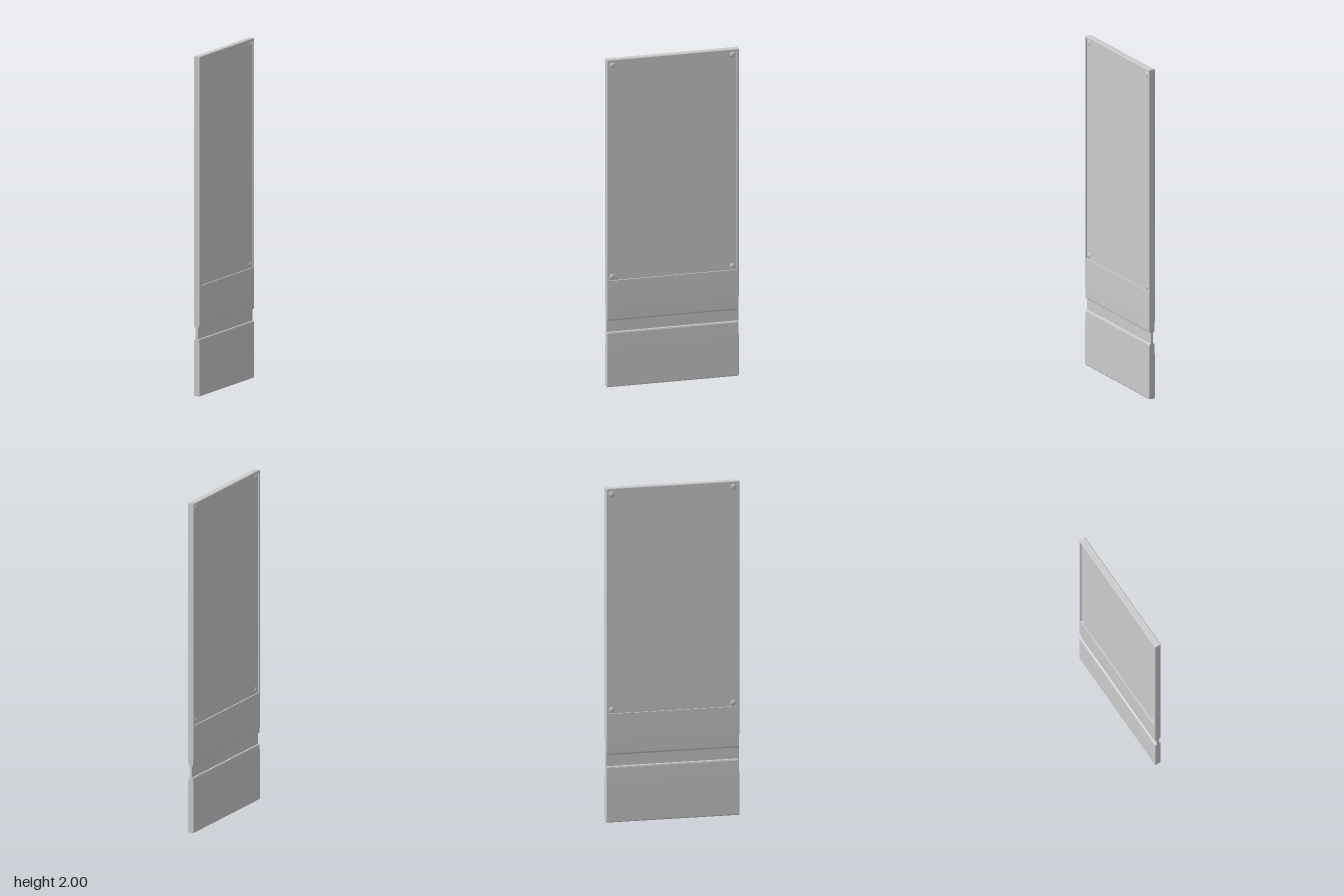
import * as THREE from 'three';

const material = new THREE.MeshStandardMaterial({ color: 0xcccccc, flatShading: true });
const smooth = new THREE.MeshStandardMaterial({ color: 0xcccccc });

const HALF_WIDTH = 0.4;
const RIM = 0.013;
const HALF_THICK = 0.02;
const FLOOR = 0.012; // half thickness inside the recessed panel
const PANEL_BOTTOM = 0.65, PANEL_TOP = 1.985;

// Side outline of the slab (half thickness, height), mirrored across x = 0
function outline(recessed) {
  const half = [
    [0.016, 0], [HALF_THICK, 0.005], [HALF_THICK, 0.24], [0.0185, 0.325], [0.016, 0.333],
    [0.008, 0.336], [0.008, 0.402], [0.016, 0.405], [0.0185, 0.413], [HALF_THICK, 0.5],
  ];
  if (recessed) {
    half.push([HALF_THICK, PANEL_BOTTOM], [FLOOR, PANEL_BOTTOM], [FLOOR, PANEL_TOP], [HALF_THICK, PANEL_TOP]);
  }
  half.push([HALF_THICK, 1.996], [0.017, 2]);
  const mirrored = half.map(([x, y]) => [-x, y]).reverse();
  return new THREE.Shape([...half, ...mirrored].map(([x, y]) => new THREE.Vector2(x, y)));
}

export function createModel() {
  const group = new THREE.Group();
  group.name = 'groovedPanel';
  const add = (name, geometry, mat = material) => {
    const mesh = new THREE.Mesh(geometry, mat);
    mesh.name = name;
    group.add(mesh);
    return mesh;
  };

  // Main slab with the waist groove and a recess on both faces
  const inner = HALF_WIDTH - RIM;
  const slab = new THREE.ExtrudeGeometry(outline(true), { depth: inner * 2, bevelEnabled: false });
  slab.translate(0, 0, -inner);
  add('slab', slab);

  // Side rims closing the recesses, with the outer edge slightly chamfered
  for (const side of [1, -1]) {
    const rim = new THREE.ExtrudeGeometry(outline(false), { depth: RIM, steps: 4, bevelEnabled: false });
    const p = rim.attributes.position;
    for (let i = 0; i < p.count; i++) {
      if (p.getZ(i) > RIM - 0.001) p.setX(i, p.getX(i) * 0.85);
    }
    rim.translate(0, 0, inner);
    if (side < 0) rim.rotateY(Math.PI);
    rim.computeVertexNormals();
    add(side > 0 ? 'frontRim' : 'backRim', rim);
  }

  // Low domed studs in the corners of each recess
  const dome = new THREE.SphereGeometry(0.017, 24, 10, 0, Math.PI * 2, 0, Math.PI / 2);
  dome.scale(1, 0.4, 1);
  for (const face of [1, -1]) {
    for (const z of [-1, 1]) {
      for (const y of [PANEL_BOTTOM + 0.022, PANEL_TOP - 0.022]) {
        const stud = add('cornerStud', dome, smooth);
        stud.rotation.z = -face * Math.PI / 2;
        stud.position.set(face * FLOOR, y, z * (inner - 0.022));
      }
    }
  }
  return group;
}
